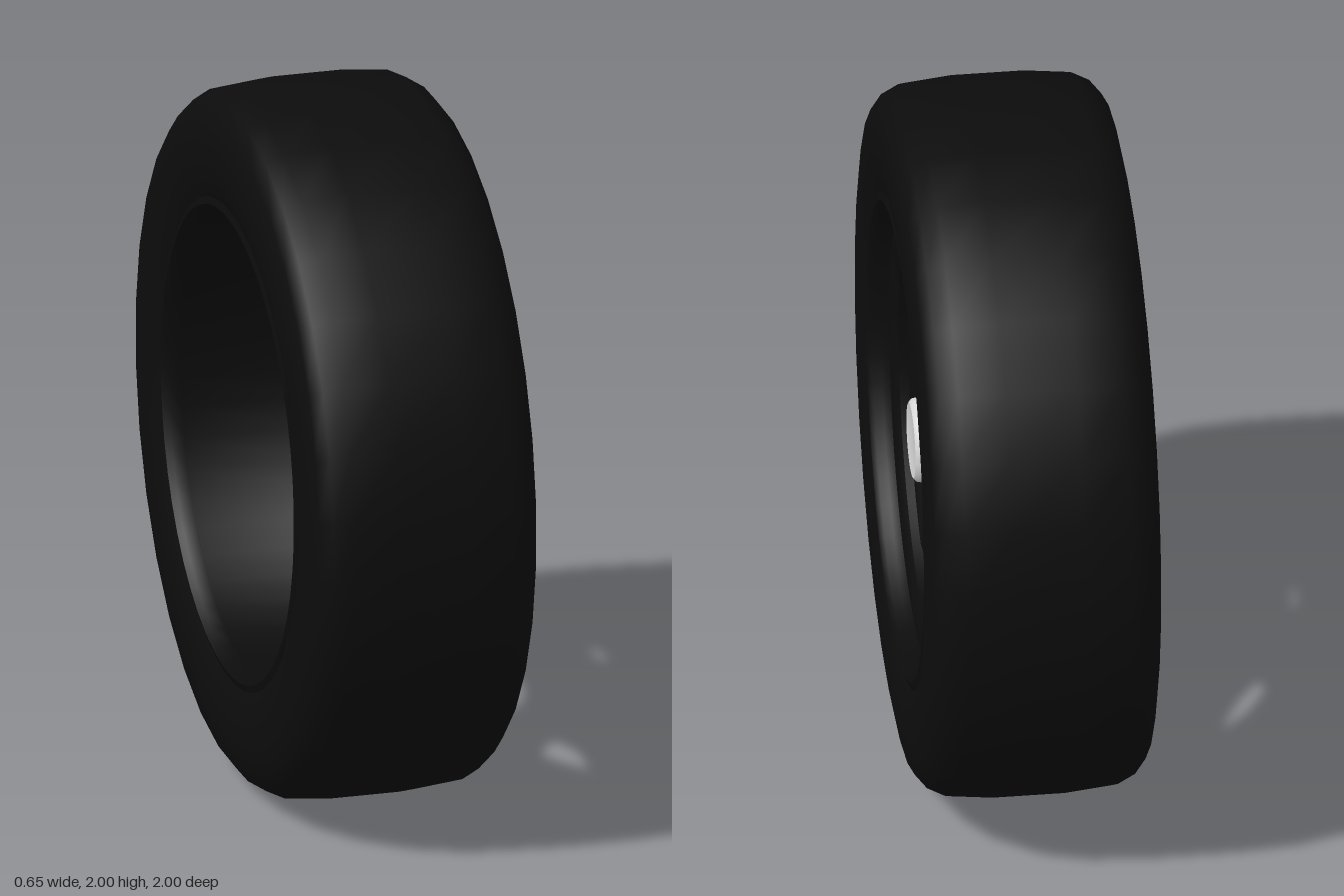
import * as THREE from 'three';
import { toCreasedNormals } from 'three/addons/utils/BufferGeometryUtils.js';

const rubber = new THREE.MeshStandardMaterial({ color: 0x0c0c0c, name: 'black rubber' });
const rimBlack = new THREE.MeshStandardMaterial({ color: 0x0b0b0b, name: 'black rim', side: THREE.DoubleSide });
const silver = new THREE.MeshStandardMaterial({ color: 0xd6d6d6, name: 'silver cap', side: THREE.DoubleSide });

// Spin a [radius, x] profile around the x axle
function spin(name, profile, sides, material, crease) {
  const points = profile.map(([r, x]) => new THREE.Vector2(r, x));
  let geo = new THREE.LatheGeometry(points, sides, Math.PI / sides);
  geo.rotateZ(-Math.PI / 2);
  if (crease) geo = toCreasedNormals(geo, crease);
  const mesh = new THREE.Mesh(geo, material);
  mesh.name = name;
  return mesh;
}

// One fifth of the dished disc, with its rounded window
function spokeSector() {
  const inner = 0.22, outer = 0.59, half = Math.PI / 5, steps = 12;
  const arc = (r, from, to) => Array.from({ length: steps + 1 }, (_, i) => {
    const a = Math.PI / 2 + from + (to - from) * i / steps;
    return new THREE.Vector2(r * Math.cos(a), r * Math.sin(a));
  });
  const shape = new THREE.Shape([...arc(outer, -half, half), ...arc(inner, half, -half)]);
  const side = [[0.06, 0.332], [0.118, 0.4], [0.14, 0.475], [0.122, 0.507]];
  const outline = [[0, 0.31], ...side, [0, 0.515], ...side.map(([x, y]) => [-x, y]).reverse()];
  const curve = new THREE.CatmullRomCurve3(outline.map(([x, y]) => new THREE.Vector3(x, y, 0)), true);
  shape.holes.push(new THREE.Path(curve.getPoints(36).slice(0, -1).map(p => new THREE.Vector2(p.x, p.y))));

  const geo = new THREE.ExtrudeGeometry(shape, { depth: 0.05, bevelEnabled: false });
  // Dish the disc: the further out, the further forward
  const pos = geo.attributes.position;
  for (let i = 0; i < pos.count; i++) {
    const r = Math.hypot(pos.getX(i), pos.getY(i));
    pos.setZ(i, pos.getZ(i) + 0.05 + (r - inner) * 0.3);
  }
  geo.rotateY(Math.PI / 2);
  return toCreasedNormals(geo, 0.6);
}

export function createModel() {
  const wheel = new THREE.Group();
  wheel.name = 'wheel';
  const axle = new THREE.Group();
  axle.name = 'axleCentre';
  axle.position.y = 1;
  wheel.add(axle);

  // Tyre, mirrored across its middle
  const half = [[0.66, 0.28], [0.69, 0.305], [0.75, 0.322], [0.82, 0.327], [0.87, 0.322],
    [0.925, 0.312], [0.965, 0.28], [0.99, 0.23], [1.003, 0.1]];
  const tyre = [...half.map(([r, x]) => [r, -x]), ...half.reverse()];
  axle.add(spin('tyre', tyre, 32, rubber));

  // Rim: stepped front lip, straight barrel, rear lip
  axle.add(spin('rim', [[0.69, -0.306], [0.67, -0.312], [0.658, -0.295], [0.65, -0.26], [0.645, 0.1],
    [0.6, 0.17], [0.578, 0.19], [0.58, 0.235], [0.6, 0.25], [0.632, 0.255], [0.648, 0.275],
    [0.655, 0.3], [0.67, 0.314], [0.692, 0.306]], 48, rimBlack, 0.7));

  // Five-spoke disc
  const sector = spokeSector();
  const disc = new THREE.Group();
  disc.name = 'spokeDisc';
  for (let i = 0; i < 5; i++) {
    const spoke = new THREE.Mesh(sector, rimBlack);
    spoke.name = 'spokeSector';
    spoke.rotation.x = i * Math.PI * 2 / 5;
    disc.add(spoke);
  }
  axle.add(disc);

  // Hub cap: flange, domed wall, raised centre button, open at the back
  axle.add(spin('hubCap', [[0.238, 0.1], [0.242, 0.112], [0.232, 0.12], [0.218, 0.12], [0.212, 0.135],
    [0.198, 0.18], [0.18, 0.212], [0.155, 0.228], [0.128, 0.232], [0.12, 0.238], [0.115, 0.262],
    [0.105, 0.27], [0.098, 0.268], [0, 0.268]], 48, silver, 0.7));

  return wheel;
}
